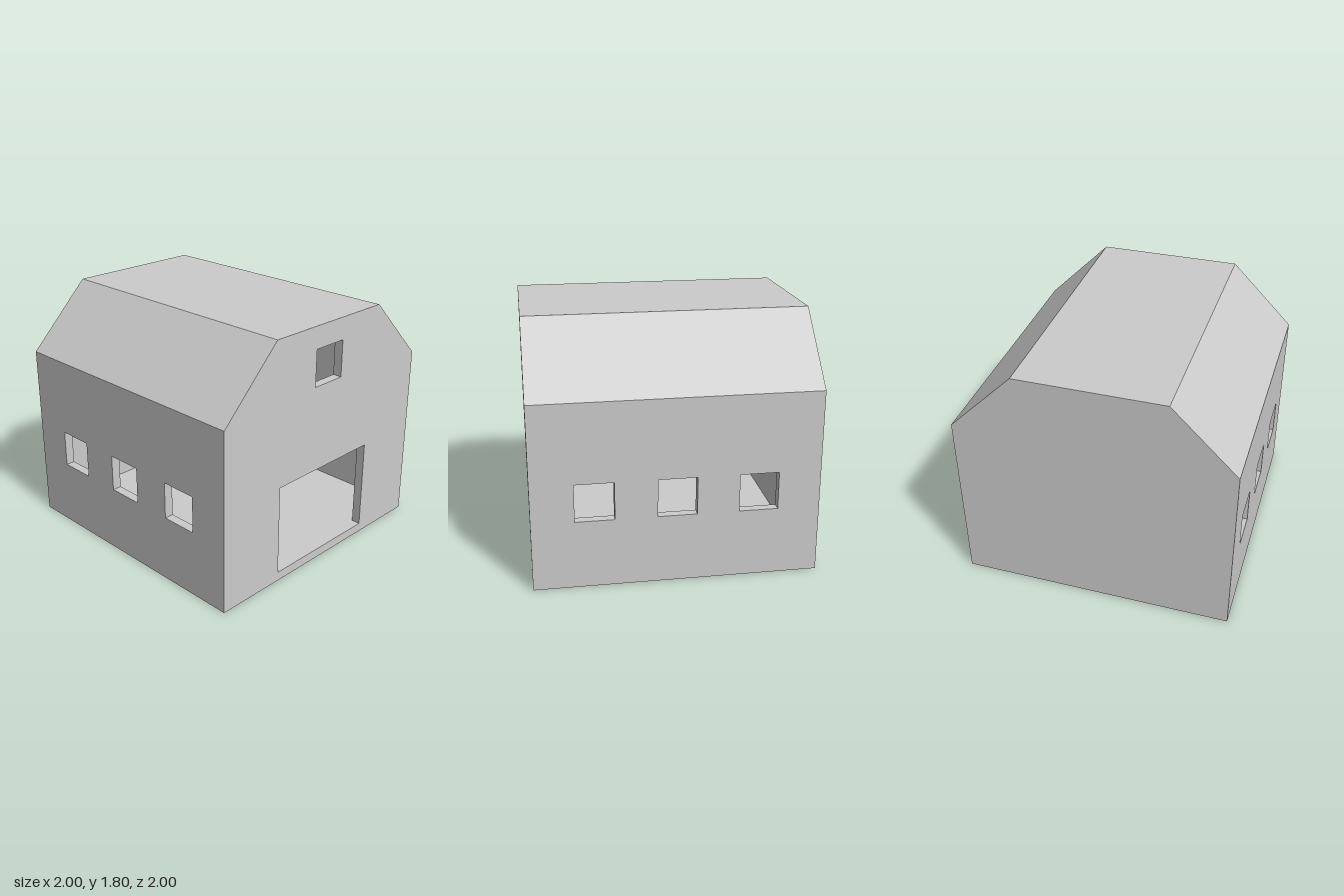
import * as THREE from 'three';
import { mergeGeometries } from 'three/addons/utils/BufferGeometryUtils.js';

const T = 0.067; // wall, roof and floor thickness
const V = (x, y) => new THREE.Vector2(x, y);

// Gambrel cross-section, counter-clockwise from the floor's left end
const OUTER = [V(-1, 0), V(1, 0), V(1, 1.335), V(0.53, 1.805), V(-0.53, 1.805), V(-1, 1.335)];
const INNER = [V(-1 + T, T), V(1 - T, T), V(1 - T, 1.307), V(0.502, 1.805 - T), V(-0.502, 1.805 - T), V(-1 + T, 1.307)];
const NAMES = ['floor', 'rightWall', 'roofSlopeRight', 'roofTop', 'roofSlopeLeft', 'leftWall'];

const material = new THREE.MeshStandardMaterial({ color: 0xcccccc, flatShading: true });

const rect = (x0, x1, y0, y1) => [V(x0, y0), V(x1, y0), V(x1, y1), V(x0, y1)];

// Flat sheet with holes at depth z, optionally facing backwards
function sheet(outline, holes, z, flip) {
  const shape = new THREE.Shape(outline);
  shape.holes = holes.map((h) => new THREE.Path(h));
  const g = new THREE.ShapeGeometry(shape).translate(0, 0, z);
  if (flip) g.index.array.reverse();
  return g;
}

// Sides of one opening, facing into the opening
function reveal(hole) {
  const pos = [];
  hole.forEach((p, i) => {
    const q = hole[(i + 1) % hole.length];
    pos.push(p.x, p.y, 0, q.x, q.y, 0, q.x, q.y, -T);
    pos.push(p.x, p.y, 0, q.x, q.y, -T, p.x, p.y, -T);
  });
  const g = new THREE.BufferGeometry();
  g.setAttribute('position', new THREE.Float32BufferAttribute(pos, 3));
  return g;
}

// Panel with its outside at z = 0 and a mitred inside at z = -T
function panel(name, outer, inner, holes = []) {
  const sheets = [sheet(outer, holes, 0, false), sheet(inner, holes, -T, true)];
  const parts = sheets.map((g) => g.toNonIndexed().deleteAttribute('uv').deleteAttribute('normal'));
  const g = mergeGeometries([...parts, ...holes.map(reveal)]);
  g.computeVertexNormals();
  const mesh = new THREE.Mesh(g, material);
  mesh.name = name;
  return mesh;
}

export function createModel() {
  const barn = new THREE.Group();
  barn.name = 'barn';

  // Gable ends: the front has a wide doorway and a loft window
  const front = panel('frontGable', OUTER, INNER, [
    rect(-0.468, 0.468, T, 0.738),
    rect(-0.136, 0.136, 1.372, 1.642),
  ]);
  front.position.z = 1;
  const back = panel('backGable', OUTER, INNER);
  back.position.z = -1;
  back.rotation.y = Math.PI;
  barn.add(front, back);

  // Floor, side walls and roof: one panel along each edge of the cross-section
  OUTER.forEach((a, i) => {
    const j = (i + 1) % OUTER.length;
    const d = OUTER[j].clone().sub(a).normalize();
    const along = (p) => p.clone().sub(a).dot(d);
    const holes = [];
    if (NAMES[i].endsWith('Wall')) {
      const [u0, u1] = [0.492, 0.763].map((y) => Math.abs(y - a.y)).sort((m, n) => m - n);
      for (const z of [-0.567, 0, 0.567]) holes.push(rect(u0, u1, z - 0.136, z + 0.136));
    }
    const mesh = panel(
      NAMES[i],
      rect(0, along(OUTER[j]), -1, 1),
      rect(along(INNER[i]), along(INNER[j]), T - 1, 1 - T),
      holes
    );
    // Local x runs along the edge, y along the barn, z outwards
    const basis = new THREE.Matrix4().makeBasis(
      new THREE.Vector3(d.x, d.y, 0),
      new THREE.Vector3(0, 0, 1),
      new THREE.Vector3(d.y, -d.x, 0)
    );
    mesh.quaternion.setFromRotationMatrix(basis);
    mesh.position.set(a.x, a.y, 0);
    barn.add(mesh);
  });

  return barn;
}
